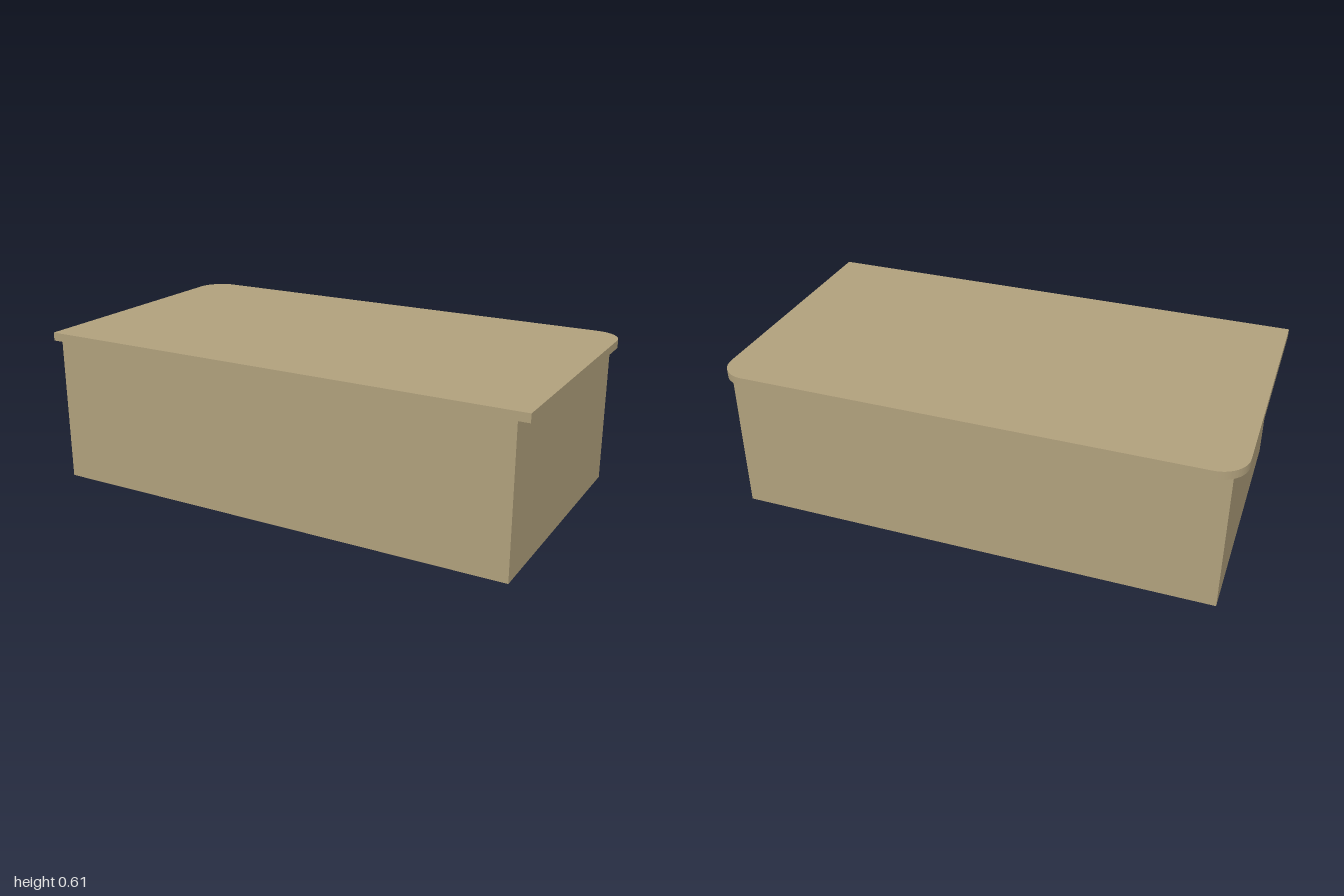
import * as THREE from 'three';
import { toCreasedNormals } from 'three/addons/utils/BufferGeometryUtils.js';

const HALF_W = 1, HALF_D = 0.548, RADIUS = 0.11;
const BODY_HALF_W = 0.957, BODY_BACK = -0.507, BODY_H = 0.575, TOP = 0.608;

export function createModel() {
  const model = new THREE.Group();
  model.name = 'box';
  const tan = new THREE.MeshStandardMaterial({ color: 0xb0a07c });
  tan.name = 'tan';

  // Body: flush with the lid at the front, set in at the sides and back
  const depth = HALF_D - BODY_BACK;
  const body = new THREE.Mesh(new THREE.BoxGeometry(BODY_HALF_W * 2, BODY_H, depth), tan);
  body.name = 'body';
  body.position.set(0, BODY_H / 2, (HALF_D + BODY_BACK) / 2);
  model.add(body);

  // Lid: thin slab with square front corners and rounded back corners (shape +y is the back)
  const outline = new THREE.Shape();
  outline.moveTo(-HALF_W, -HALF_D);
  outline.lineTo(HALF_W, -HALF_D);
  outline.lineTo(HALF_W, HALF_D - RADIUS);
  outline.absarc(HALF_W - RADIUS, HALF_D - RADIUS, RADIUS, 0, Math.PI / 2, false);
  outline.lineTo(-HALF_W + RADIUS, HALF_D);
  outline.absarc(-HALF_W + RADIUS, HALF_D - RADIUS, RADIUS, Math.PI / 2, Math.PI, false);
  outline.closePath();
  const slab = new THREE.ExtrudeGeometry(outline, {
    depth: TOP - BODY_H, bevelEnabled: false, curveSegments: 16,
  });
  slab.rotateX(-Math.PI / 2);
  const lid = new THREE.Mesh(toCreasedNormals(slab, 0.6), tan);
  lid.name = 'lid';
  lid.position.y = BODY_H;
  model.add(lid);

  return model;
}
